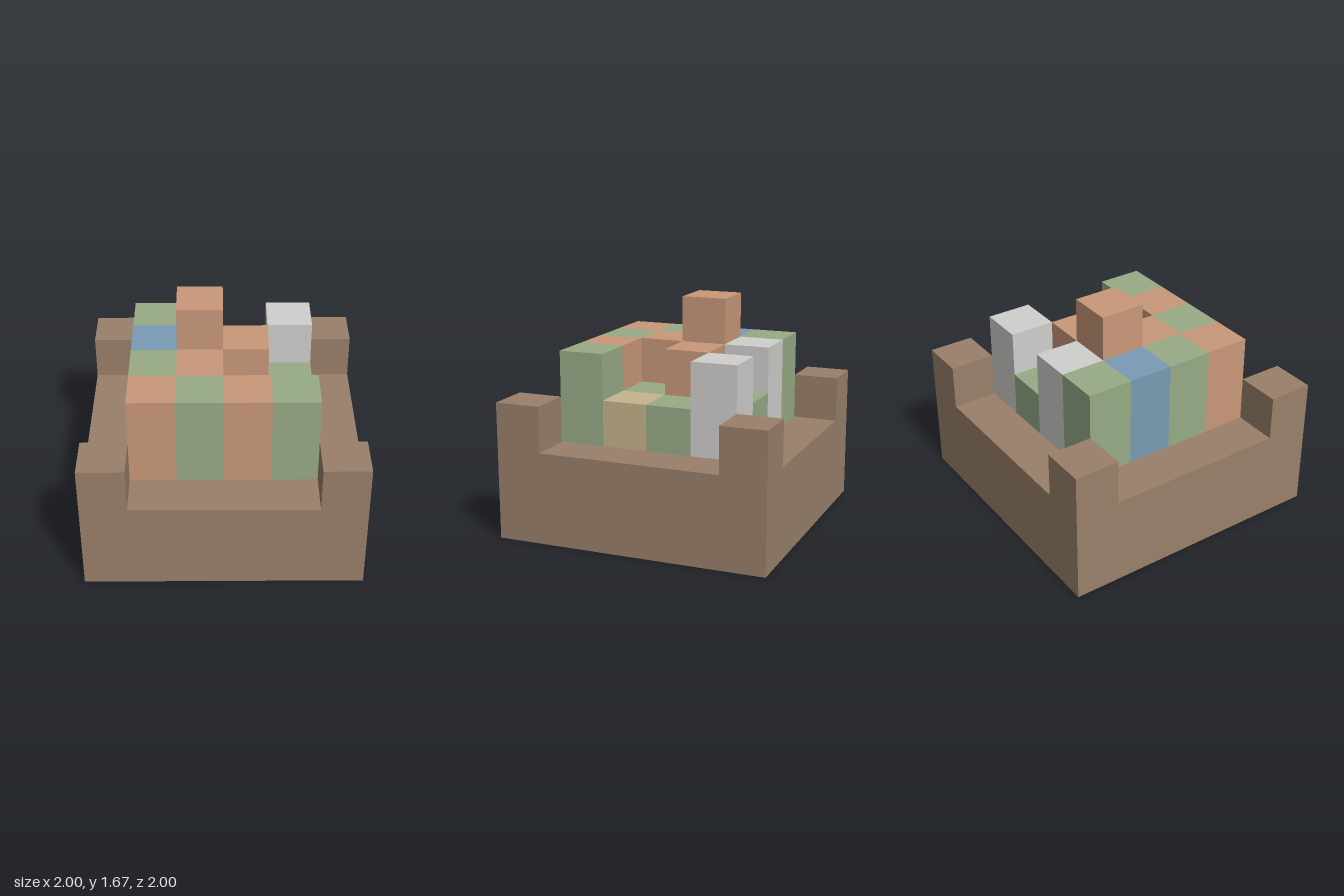
import * as THREE from 'three';
import { mergeGeometries } from 'three/addons/utils/BufferGeometryUtils.js';

const U = 1 / 3; // edge of one cube
const N = 6; // cells per side

// column heights in cubes, rows from back to front
const HEIGHTS = [
  [3, 2, 2, 2, 2, 3],
  [2, 4, 4, 3, 4, 2],
  [2, 4, 5, 4, 3, 2],
  [2, 4, 4, 3, 3, 2],
  [2, 4, 4, 4, 4, 2],
  [3, 2, 2, 2, 2, 3],
];

// B brown, G green, W pale grey, S blue, O orange, T tan
const COLOURS = ['BBBBBB', 'BGWGWB', 'BSOOGB', 'BGOGTB', 'BOGOGB', 'BBBBBB'];

const PALETTE = {
  B: ['brown', 0x9a806a],
  G: ['green', 0x98ab87],
  W: ['paleGrey', 0xd0cfcd],
  S: ['blue', 0x7a9bb4],
  O: ['orange', 0xc9987a],
  T: ['tan', 0xc8b38d],
};

const heightAt = (row, col) => HEIGHTS[row]?.[col] ?? 0;

// open column: a top, plus a side wherever the neighbour is lower
function columnGeometry(row, col) {
  const h = heightAt(row, col);
  const x = (col - (N - 1) / 2) * U;
  const z = (row - (N - 1) / 2) * U;
  const faces = [new THREE.PlaneGeometry(U, U).rotateX(-Math.PI / 2).translate(x, h * U, z)];
  for (const [dx, dz] of [[0, 1], [1, 0], [0, -1], [-1, 0]]) {
    const low = heightAt(row + dz, col + dx);
    if (low >= h) continue;
    faces.push(
      new THREE.PlaneGeometry(U, (h - low) * U)
        .rotateY(Math.atan2(dx, dz))
        .translate(x + dx * U / 2, (h + low) * U / 2, z + dz * U / 2)
    );
  }
  return mergeGeometries(faces);
}

export function createModel() {
  const model = new THREE.Group();
  model.name = 'blockPlanter';

  const materials = {};
  for (const [key, [name, color]] of Object.entries(PALETTE)) {
    materials[key] = new THREE.MeshStandardMaterial({ color, side: THREE.DoubleSide });
    materials[key].name = name;
  }

  const blocks = new THREE.Group();
  blocks.name = 'blocks';
  const frameParts = [];
  for (let row = 0; row < N; row++) {
    for (let col = 0; col < N; col++) {
      const key = COLOURS[row][col];
      const geometry = columnGeometry(row, col);
      if (key === 'B') {
        frameParts.push(geometry);
        continue;
      }
      const block = new THREE.Mesh(geometry, materials[key]);
      block.name = `${PALETTE[key][0]}Block`;
      blocks.add(block);
    }
  }

  // hollow surround with raised corners
  const frame = new THREE.Mesh(mergeGeometries(frameParts), materials.B);
  frame.name = 'frame';
  model.add(frame, blocks);
  return model;
}
